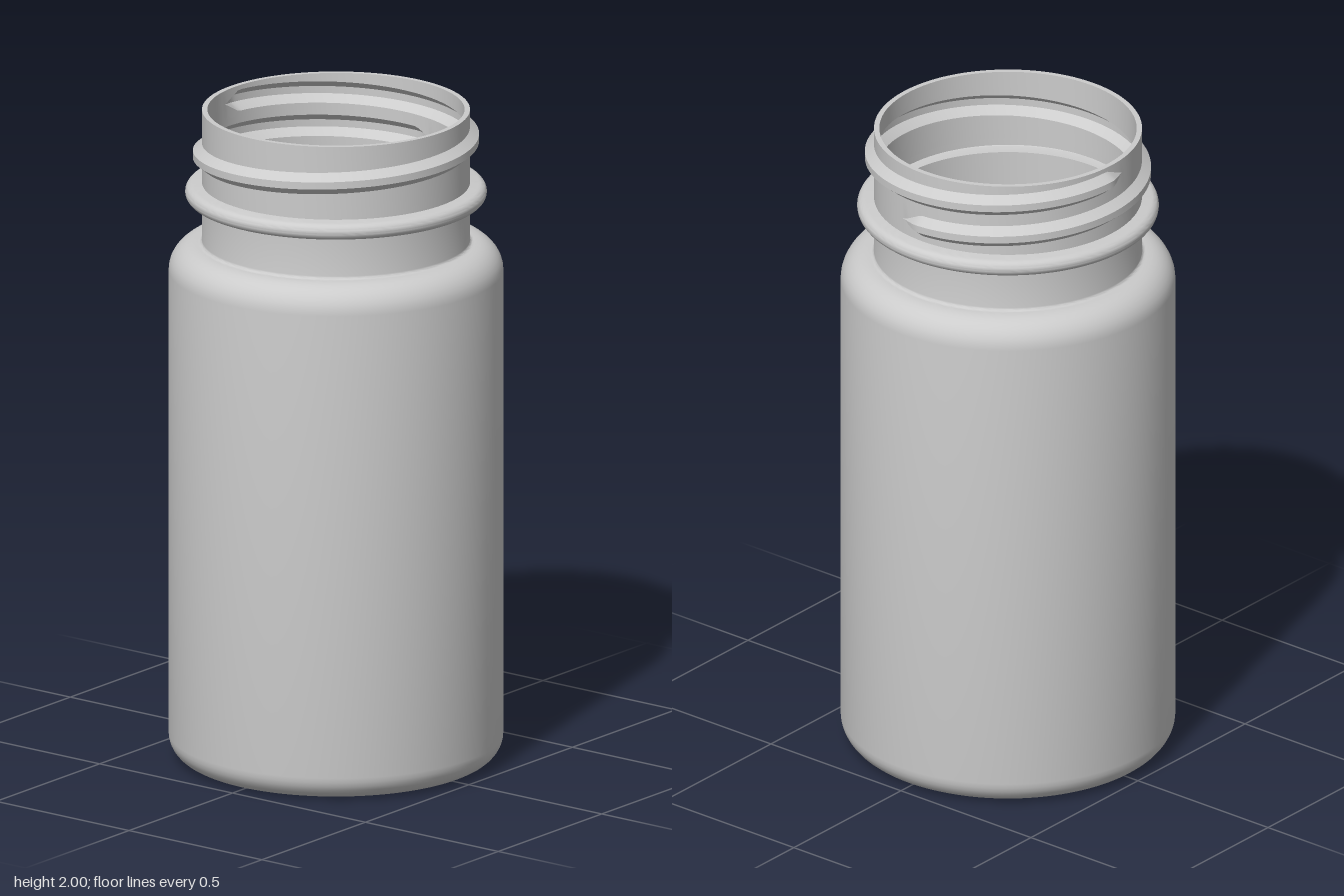
import * as THREE from 'three';
import { toCreasedNormals } from 'three/addons/utils/BufferGeometryUtils.js';

const SEGMENTS = 144;
const RAD = Math.PI / 180;
const BODY_R = 0.497, NECK_R = 0.398, WALL = 0.016;
const NECK_BASE = 1.78, TOP = 2;

// Helical thread: angular range, height and pitch
const START = -11 * RAD, END = 457 * RAD, TAPER = 10 * RAD;
const threadY = (a) => 1.826 + 0.103 * a / (2 * Math.PI);

// Points of a circular arc in the (radius, height) plane
function arc(cx, cy, r, from, to, steps = 8) {
  return Array.from({ length: steps + 1 }, (_, i) => {
    const a = (from + (to - from) * i / steps) * RAD;
    return [cx + r * Math.cos(a), cy + r * Math.sin(a)];
  });
}

// Neck profile at one angle: a plain wall with the thread turns raised out of it
function neckProfile(angle, radius) {
  const points = [[radius, NECK_BASE]];
  for (const turn of [0, 1]) {
    const a = angle + turn * 2 * Math.PI;
    const h = THREE.MathUtils.clamp(Math.min(a - START, END - a) / TAPER, 0, 1);
    const y = threadY(THREE.MathUtils.clamp(a, START, END));
    const peak = radius + 0.027 * h;
    points.push([radius, y - 0.033 * h], [peak, y - 0.011 * h],
      [peak, y + 0.011 * h], [radius, y + 0.033 * h]);
  }
  points.push([radius, TOP]);
  return points;
}

// Turn a profile around the y axis; the profile may change with the angle
function revolve(name, profileAt) {
  const positions = [], index = [];
  let n = 0;
  for (let i = 0; i <= SEGMENTS; i++) {
    const a = -20 * RAD + i / SEGMENTS * 2 * Math.PI;
    const profile = profileAt(a);
    n = profile.length;
    for (const [r, y] of profile) positions.push(r * Math.cos(a), y, -r * Math.sin(a));
  }
  for (let i = 0; i < SEGMENTS; i++) {
    for (let j = 0; j < n - 1; j++) {
      const p = i * n + j, q = p + n;
      index.push(p, q, p + 1, q, q + 1, p + 1);
    }
  }
  const geometry = new THREE.BufferGeometry();
  geometry.setAttribute('position', new THREE.Float32BufferAttribute(positions, 3));
  geometry.setIndex(index);
  const mesh = new THREE.Mesh(
    toCreasedNormals(geometry, 28 * RAD),
    new THREE.MeshStandardMaterial({ color: 0xcccccc })
  );
  mesh.name = name;
  return mesh;
}

export function createModel() {
  const group = new THREE.Group();
  group.name = 'bottle';
  const innerR = NECK_R - WALL;

  // Outside: recessed base, rounded body, shoulder, neck and bead ring
  const outside = [
    [0, 0.045], [0.25, 0.045], [0.39, 0],
    ...arc(BODY_R - 0.075, 0.075, 0.075, -90, 0),
    ...arc(BODY_R - 0.085, 1.505, 0.085, 0, 90),
    ...arc(NECK_R + 0.01, 1.6, 0.01, 270, 180, 4),
    [NECK_R, 1.717],
    ...arc(NECK_R + 0.025, 1.747, 0.025, -90, 90, 12),
    [NECK_R, 1.775], [NECK_R, NECK_BASE],
  ];
  group.add(revolve('body', () => outside));

  // Inside: same shape moved in by the wall thickness, running downward
  const inside = [
    [innerR, NECK_BASE], [innerR, 1.759],
    ...arc(NECK_R + 0.023, 1.747, 0.011, 90, -90, 8),
    [innerR, 1.735], [innerR, 1.574],
    ...arc(BODY_R - 0.085, 1.505, 0.069, 90, 0),
    ...arc(BODY_R - 0.075, 0.075, 0.059, 0, -90),
    [0.39, WALL], [0.25, 0.061], [0, 0.061],
  ];
  group.add(revolve('innerWall', () => inside));

  // Threaded neck, outer and inner skins joined by the rim
  group.add(revolve('threadedNeck', (a) => neckProfile(a, NECK_R)));
  group.add(revolve('innerNeck', (a) => neckProfile(a, innerR).reverse()));
  group.add(revolve('rim', () => [[NECK_R, TOP], [innerR, TOP]]));
  return group;
}
